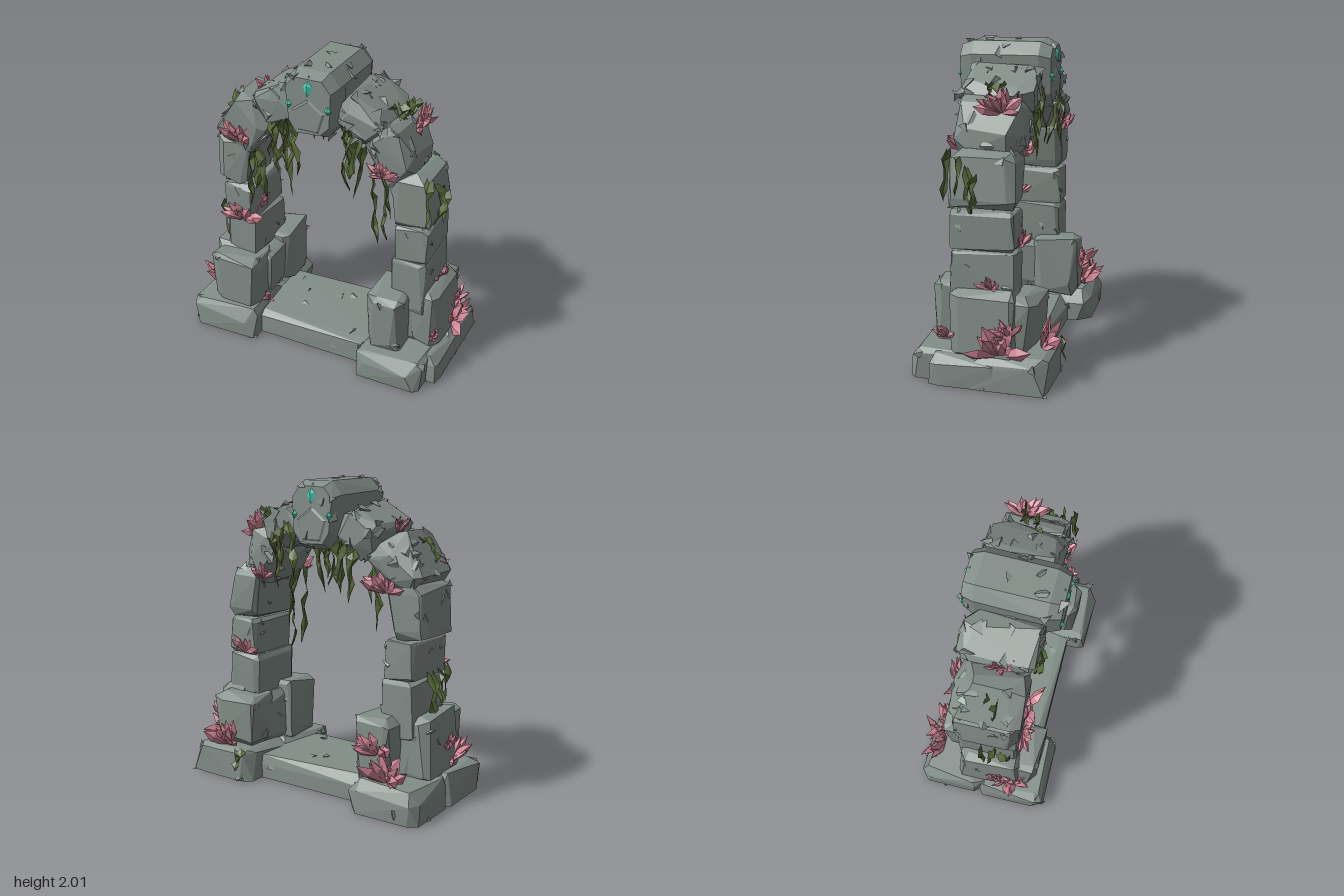
import * as THREE from 'three';
import { ConvexGeometry } from 'three/addons/geometries/ConvexGeometry.js';
import { mergeGeometries } from 'three/addons/utils/BufferGeometryUtils.js';

const V = (x, y, z) => new THREE.Vector3(x, y, z);
const UP = V(0, 1, 0);

export function createModel() {
  const model = new THREE.Group();
  model.name = 'stoneArch';
  let seed = 11;
  const rnd = () => (seed = (seed * 16807) % 2147483647) / 2147483647;
  const span = (a, b) => a + (b - a) * rnd();

  const paint = (name, color) => {
    const m = new THREE.MeshStandardMaterial({ color, flatShading: true });
    m.name = name;
    return m;
  };
  const stone = paint('stone grey', 0x838e89);
  const pink = paint('coral pink', 0xd08696);
  const green = paint('vine green', 0x586a3a);
  const teal = paint('gem teal', 0x4ad2b6);
  green.side = THREE.DoubleSide;

  const add = (name, geo, mat) => {
    const mesh = new THREE.Mesh(geo, mat);
    mesh.name = name;
    model.add(mesh);
    return mesh;
  };
  const bare = (geo) => {
    const g = geo.index ? geo.toNonIndexed() : geo;
    g.deleteAttribute('uv');
    return g;
  };

  // Scatter flat chips over the surface of a rock
  function withChips(geo, count, size) {
    const p = geo.attributes.position, parts = [geo], faces = [];
    let total = 0;
    for (let i = 0; i < p.count; i += 3) {
      const [a, b, c] = [i, i + 1, i + 2].map((k) => V().fromBufferAttribute(p, k));
      b.sub(a);
      c.sub(a);
      const n = b.clone().cross(c);
      total += n.length();
      faces.push({ a, b, c, n: n.normalize(), total });
    }
    for (let k = 0; k < count; k++) {
      const r = rnd() * total, f = faces.find((q) => q.total >= r);
      const u = rnd(), v = rnd() * (1 - u);
      const at = f.a.clone().addScaledVector(f.b, u).addScaledVector(f.c, v);
      const chip = bare(new THREE.TetrahedronGeometry(size));
      chip.rotateY(rnd() * 6).rotateX(rnd());
      chip.scale(span(0.5, 1.4), span(0.3, 0.6), span(0.5, 1.4)).rotateY(rnd() * 6);
      chip.applyQuaternion(new THREE.Quaternion().setFromUnitVectors(UP, f.n));
      parts.push(chip.translate(at.x, at.y, at.z));
    }
    return mergeGeometries(parts);
  }

  // Rough block: box with uneven cut corners
  function rock(name, [x, y, z], [w, h, d], rz = 0, chips = 6, cut = 0.2, chipSize = 0.034, floor = false) {
    const pts = [], half = [w / 2, h / 2, d / 2], m = Math.min(w, h, d);
    for (const sx of [-1, 1]) for (const sy of [-1, 1]) for (const sz of [-1, 1]) {
      for (let axis = 0; axis < 3; axis++) {
        const s = [sx, sy, sz].map((sign, i) => {
          const inset = i === axis ? rnd() * 0.07 : cut * span(0.3, 1.6);
          return sign * (half[i] - m * inset);
        });
        if (floor && sy < 0) s[1] = -half[1];
        pts.push(V(...s));
      }
    }
    const g = withChips(bare(new ConvexGeometry(pts)), chips, chipSize);
    g.rotateZ(rz).translate(x, y, z);
    if (floor) {
      const p = g.attributes.position;
      for (let i = 0; i < p.count; i++) p.setY(i, Math.max(0, p.getY(i)));
    }
    add(name, g, stone);
  }

  // Plinths and threshold, resting flat on the floor
  const slab = (name, x, z, w, h, d, chips = 10) => rock(name, [x, h / 2, z], [w, h, d], 0, chips, 0.3, 0.036, true);
  slab('leftBackPlinth', -0.63, -0.22, 0.52, 0.21, 0.46);
  slab('leftFrontPlinth', -0.65, 0.19, 0.5, 0.21, 0.48);
  slab('rightBackPlinth', 0.63, -0.2, 0.5, 0.21, 0.48);
  slab('rightFrontPlinth', 0.58, 0.21, 0.46, 0.2, 0.48);
  slab('rightOuterPlinth', 0.7, 0.08, 0.36, 0.19, 0.44, 4);
  slab('threshold', 0, 0.01, 0.92, 0.17, 0.62, 26);

  // Arch stones from the ground up: left x, right x, y, width, height, depth, lean, chips, corner cut
  const courses = {
    FootStone: [0.57, 0.6, 0.36, 0.34, 0.38, 0.38, 0, 6, 0.18],
    LowerBlock: [0.6, 0.605, 0.62, 0.245, 0.39, 0.42, 0.02, 6, 0.12],
    MiddleBlock: [0.61, 0.615, 0.93, 0.23, 0.26, 0.41, 0, 9, 0.12],
    Shoulder: [0.645, 0.605, 1.23, 0.26, 0.36, 0.42, 0.14, 12, 0.22],
    Haunch: [0.555, 0.445, 1.5, 0.31, 0.38, 0.45, 0.58, 30, 0.27],
    CrownStone: [0.295, 0.255, 1.69, 0.27, 0.32, 0.49, 1.05, 30, 0.27],
  };
  for (const [side, s] of [['left', -1], ['right', 1]]) {
    for (const [part, [leftX, rightX, y, w, h, d, lean, chips, cut]] of Object.entries(courses)) {
      rock(side + part, [s > 0 ? rightX : -leftX, y, 0], [w, h, d], s * lean, chips, cut, chips > 20 ? 0.05 : 0.036);
    }
    // Buttress stones, turned half way round between the sides
    rock(side + 'InnerButtress', [s * 0.5, 0.38, s * 0.19], [0.26, 0.42, 0.32], -s * 0.03, 4);
    rock(side + 'OuterButtress', [s * 0.71, 0.38, -s * 0.02], [0.22, 0.42, 0.42], s * 0.06, 6);
    rock(side + 'RearButtress', [s * 0.6, 0.37, -s * 0.2], [0.36, 0.39, 0.3], s * 0.03, 6);
  }

  // Eight-sided keystone, narrower below, with a raised face and gems at both ends
  const keyPts = [];
  for (const [z, k] of [[0.31, 0.83], [0.23, 1], [-0.2, 1], [-0.275, 0.83]]) {
    for (let i = 0; i < 8; i++) {
      const t = (Math.floor(i / 2) + 0.5) * Math.PI / 2 + (i % 2 ? 0.24 : -0.24), r = k * span(0.95, 1.02);
      const y = Math.sin(t) * 0.25 * r;
      keyPts.push(V(Math.cos(t) * 0.21 * r * (y < 0 ? 0.9 : 1), y, z));
    }
  }
  add('keystone', withChips(bare(new ConvexGeometry(keyPts)), 20, 0.045), stone).position.set(-0.02, 1.785, 0);
  for (const [end, z, out] of [['front', 0.31, 1], ['back', -0.275, -1]]) {
    const face = add(end + 'KeystoneFace', new THREE.CylinderGeometry(0.1, 0.13, 0.016, 5), stone);
    face.geometry.rotateX(Math.PI / 2).rotateZ(Math.PI);
    face.position.set(-0.02, 1.72, z);
    face.rotation.y = out > 0 ? 0 : Math.PI;
    for (const i of [-1, 0, 1]) {
      const gem = add(end + 'Gem', new THREE.OctahedronGeometry(1), teal);
      gem.position.set(i * 0.13 - 0.02, i ? 1.785 : 1.918, z - (i ? 0 : out * 0.004));
      gem.scale.set(i ? 0.022 : 0.037, i ? 0.027 : 0.066, 0.022);
      gem.rotation.x = i ? 0 : -out * 0.25;
    }
  }

  // Pink coral: fan of flattened spikes growing up a wall that faces the heading
  const spikeProfile = [[0, 0], [0.07, 0.1], [0.17, 0.62], [0, 1]].map((p) => new THREE.Vector2(...p));
  function coral(x, y, z, size, heading) {
    const spikes = [];
    for (let i = 0; i < 6 + size * 45; i++) {
      const len = size * span(0.5, 1.05);
      const g = bare(new THREE.LatheGeometry(spikeProfile, 4));
      g.scale(len * 1.15, len, len * 0.7).rotateY(span(-0.7, 0.7));
      g.rotateX(span(0.05, 0.75)).rotateZ(span(-1.35, 1.35)).rotateY(heading);
      spikes.push(g);
    }
    add('coral', mergeGeometries(spikes), pink).position.set(x, y, z);
  }
  const front = 0, back = Math.PI, outRight = Math.PI / 2, outLeft = -Math.PI / 2;
  // Corals on the arch
  coral(-0.46, 1.68, 0.02, 0.12, outLeft);
  coral(-0.45, 1.7, 0.06, 0.1, front);
  coral(-0.57, 1.38, 0.2, 0.19, front);
  coral(-0.52, 1.34, -0.2, 0.18, back);
  coral(0.42, 1.36, 0.2, 0.17, front);
  coral(0.42, 1.34, -0.2, 0.13, back);
  coral(0.53, 1.61, -0.08, 0.19, outRight);
  coral(0.22, 1.78, -0.06, 0.09, outRight);
  // Corals on the columns
  coral(-0.58, 0.8, 0.2, 0.18, front);
  coral(0.58, 0.82, -0.2, 0.15, back);
  coral(-0.5, 0.86, 0.1, 0.12, outRight);
  coral(0.725, 0.58, -0.06, 0.13, outRight);
  // Corals round the feet
  coral(-0.78, 0.22, 0.17, 0.2, -1);
  coral(-0.8, 0.34, 0.1, 0.12, outLeft);
  coral(-0.4, 0.2, 0.2, 0.08, front);
  coral(0.8, 0.2, -0.13, 0.24, outRight);
  coral(0.8, 0.32, -0.19, 0.15, outRight);
  coral(0.79, 0.28, 0.2, 0.12, outRight);
  coral(-0.63, 0.2, -0.34, 0.24, back);
  coral(-0.56, 0.36, -0.33, 0.18, back);
  coral(0.62, 0.2, -0.35, 0.21, back);

  // Hanging vines: folded ribbons that swell into leaves and taper off
  function vine(x0, y0, z0, length) {
    const pos = [], idx = [], steps = Math.max(5, Math.round(length / 0.06));
    let x = 0, z = 0, turn = rnd() * 3;
    for (let i = 0; i <= steps; i++) {
      const t = i / steps, y = -t * length;
      const w = i === steps ? 0.001 : 0.05 * (i % 3 === 1 ? 1 : 0.45) * (1 - 0.5 * t);
      const c = Math.cos(turn) * w, s = Math.sin(turn) * w * 0.8;
      pos.push(x - c, y, z - s, x - s * 0.5, y - 0.02, z + c * 0.5, x + c, y, z + s);
      x += span(-0.028, 0.028);
      z += span(-0.018, 0.018);
      turn += span(-0.6, 0.6);
      if (i < steps) for (const a of [i * 3, i * 3 + 1]) idx.push(a, a + 3, a + 1, a + 1, a + 3, a + 4);
    }
    const g = new THREE.BufferGeometry();
    g.setAttribute('position', new THREE.Float32BufferAttribute(pos, 3));
    g.setIndex(idx);
    g.computeVertexNormals();
    add('vine', g, green).position.set(x0, y0, z0);
  }
  // A bunch hangs from a line that runs dx, dy and dz along its length
  function vines(count, x, y, z, dx, dy, dz, length) {
    for (let i = 0; i < count; i++) {
      const t = i / Math.max(1, count - 1);
      vine(x + dx * t, y + dy * t, z + dz * t, length * (i % 2 ? 0.7 : 1));
    }
  }
  vines(4, -0.31, 1.6, 0.23, 0.12, 0.04, 0, 0.36);
  vines(2, -0.28, 1.6, 0.05, 0.03, 0, 0.08, 0.57);
  vines(3, -0.3, 1.6, -0.24, 0.1, 0.04, 0, 0.33);
  vines(5, 0.17, 1.68, 0.23, 0.14, -0.11, 0, 0.36);
  vines(3, 0.32, 1.4, 0.12, 0.06, -0.02, -0.06, 0.54);
  vines(4, 0.2, 1.74, -0.24, 0.14, -0.12, 0, 0.35);
  vines(4, 0.72, 1.43, 0.19, 0.05, -0.14, -0.17, 0.31);
  vines(3, -0.48, 1.34, 0.2, -0.02, -0.02, -0.08, 0.38);
  vines(3, -0.76, 0.88, 0.12, 0.02, -0.03, -0.16, 0.3);
  vines(4, 0.41, 1.78, 0.04, 0.1, 0.02, -0.12, 0.17);
  vines(2, -0.67, 1.67, 0.05, 0.02, 0, -0.06, 0.15);
  vines(1, 0.47, 0.23, -0.44, 0, 0, 0, 0.14);
  vines(2, 0.2, 1.86, 0.06, 0.06, -0.03, 0.03, 0.1);

  return model;
}
